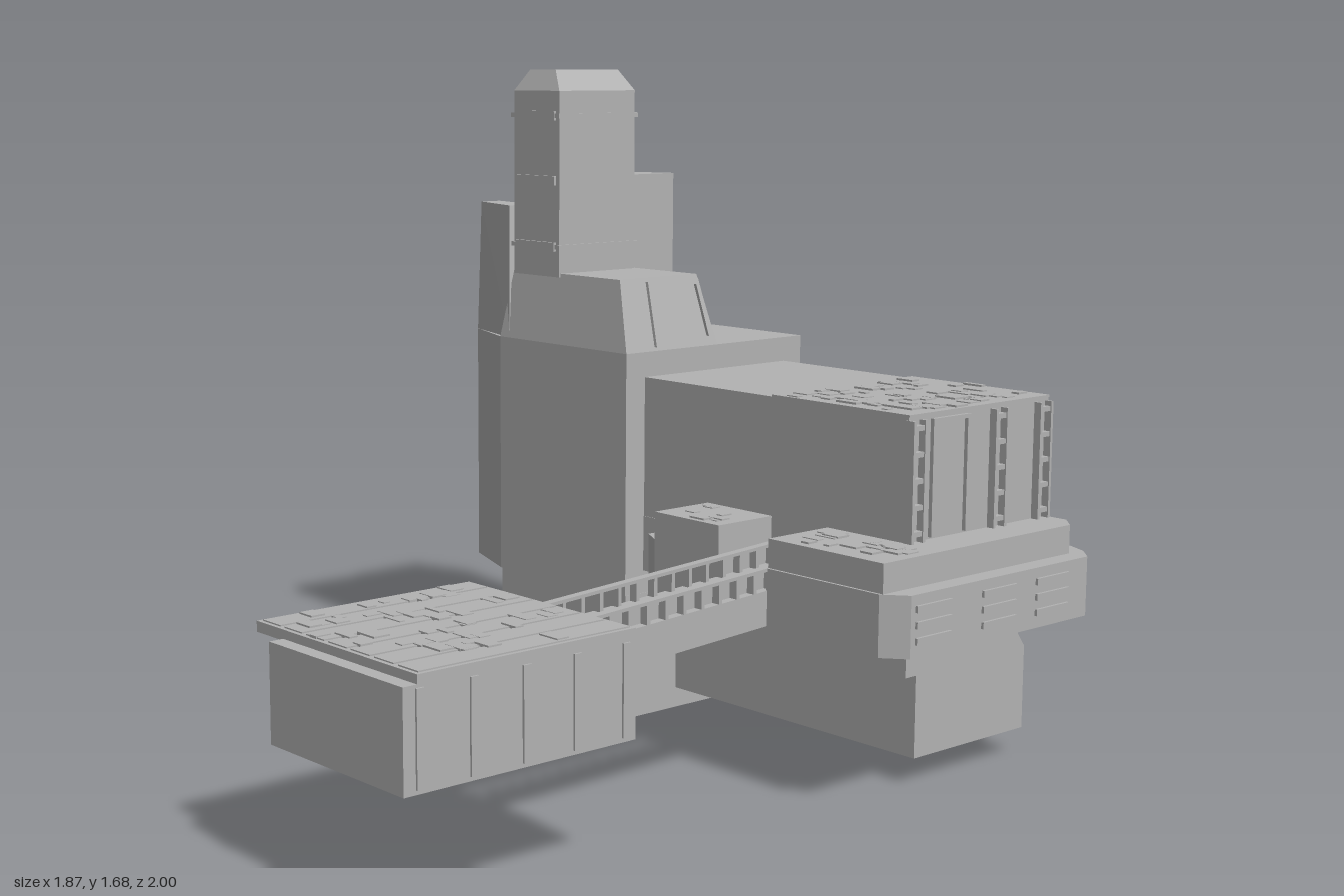
import * as THREE from 'three';
import { ConvexGeometry } from 'three/addons/geometries/ConvexGeometry.js';

export function createModel() {
  const model = new THREE.Group();
  const grey = new THREE.MeshStandardMaterial({ color: 0xb2b2b2 });
  grey.name = 'plainGrey';

  const add = (name, geometry) => {
    const mesh = new THREE.Mesh(geometry, grey);
    mesh.name = name;
    model.add(mesh);
    return mesh;
  };
  // box given by its limits
  const box = (name, x0, x1, y0, y1, z0, z1) =>
    add(name, new THREE.BoxGeometry(x1 - x0, y1 - y0, z1 - z0)
      .translate((x0 + x1) / 2, (y0 + y1) / 2, (z0 + z1) / 2));
  // upright prism over a plan of [x, z] points
  const prism = (name, plan, y0, y1) => {
    const shape = new THREE.Shape(plan.map(([x, z]) => new THREE.Vector2(x, -z)));
    return add(name, new THREE.ExtrudeGeometry(shape, { depth: y1 - y0, bevelEnabled: false })
      .rotateX(-Math.PI / 2).translate(0, y0, 0));
  };
  const hull = (name, points) =>
    add(name, new ConvexGeometry(points.map(p => new THREE.Vector3(...p))));
  const rect = (x0, x1, z0, z1, y) => [[x0, y, z0], [x1, y, z0], [x1, y, z1], [x0, y, z1]];

  // small seeded generator for the roof plating
  let seed = 7;
  const rnd = () => (seed = (seed * 16807) % 2147483647) / 2147483647;
  const plating = (name, x0, x1, z0, z1, y, count) => {
    for (let i = 0; i < count; i++) {
      const w = 0.015 + rnd() * 0.05, d = 0.012 + rnd() * 0.03;
      const x = x0 + rnd() * (x1 - x0 - w), z = z0 + rnd() * (z1 - z0 - d);
      box(name, x, x + w, y - 0.002, y + 0.002 + rnd() * 0.003, z, z + d);
    }
  };

  // tower
  box('towerFoot', -0.635, -0.125, 0, 0.33, -0.675, -0.357);
  prism('towerBody', [[-0.935, -0.83], [-0.83, -0.93], [-0.64, -1], [-0.127, -1], [-0.127, -0.357],
    [-0.64, -0.357], [-0.83, -0.43], [-0.935, -0.53]], 0.32, 0.965);
  prism('rearColumn', [[-0.83, -0.93], [-0.64, -1], [-0.64, -0.675], [-0.83, -0.675]], 0.96, 1.39);
  hull('towerShoulder', [...rect(-0.64, -0.127, -0.68, -0.357, 0.965), ...rect(-0.61, -0.182, -0.655, -0.383, 1.15)]);
  hull('frontFin', [[-0.83, 0.96, -0.43], [-0.6, 0.96, -0.357], [-0.6, 0.96, -0.475], [-0.83, 0.96, -0.51],
    [-0.83, 1.32, -0.445], [-0.64, 1.32, -0.39], [-0.64, 1.32, -0.475], [-0.83, 1.32, -0.51]]);

  // sloped window frame on the shoulder
  const slopeX = y => -0.127 - (y - 0.965) * 0.297;
  const slopeBar = (y0, y1, a0, a1, b0, b1) => hull('slopedWindowFrame', [[y0, a0], [y0, a1], [y1, b0], [y1, b1]]
    .flatMap(([y, z]) => [[slopeX(y) - 0.005, y, z], [slopeX(y) + 0.009, y, z]]));
  slopeBar(0.975, 1.14, -0.665, -0.65, -0.65, -0.638);
  slopeBar(0.975, 1.14, -0.475, -0.458, -0.485, -0.47);
  slopeBar(1.125, 1.14, -0.65, -0.475, -0.65, -0.475);
  slopeBar(0.975, 0.99, -0.66, -0.46, -0.66, -0.46);

  // chimney
  box('chimney', -0.603, -0.417, 1.14, 1.63, -0.645, -0.378);
  hull('chimneyCap', [...rect(-0.603, -0.417, -0.645, -0.378, 1.63), ...rect(-0.565, -0.46, -0.622, -0.402, 1.685)]);
  for (const y of [1.22, 1.565]) box('chimneyBand', -0.609, -0.411, y - 0.006, y + 0.006, -0.651, -0.372);
  for (const y of [1.22, 1.395, 1.565])
    for (const z of [-0.653, -0.378]) box('chimneyLug', -0.59, -0.43, y - 0.012, y + 0.012, z, z + 0.008);

  // main hall and its end facade
  box('mainHall', -0.127, 0.765, 0.4, 0.9, -0.935, -0.422);
  box('hallRoof', 0.33, 0.768, 0.9, 0.905, -0.935, -0.422);
  for (const z of [-0.905, -0.738, -0.443]) {
    for (const dz of [-0.024, 0.016]) box('facadePost', 0.76, 0.785, 0.6, 0.892, z + dz, z + dz + 0.008);
    for (let i = 0; i < 5; i++) box('facadeRung', 0.76, 0.782, 0.62 + i * 0.062, 0.632 + i * 0.062, z - 0.02, z + 0.02);
  }
  for (const [z0, z1] of [[-0.632, -0.622], [-0.51, -0.5]]) box('doorFrame', 0.76, 0.775, 0.61, 0.89, z0, z1);
  box('doorLintel', 0.76, 0.775, 0.88, 0.89, -0.632, -0.5);
  plating('hallRoofPlate', 0.34, 0.76, -0.93, -0.43, 0.905, 60);

  // lower gallery around the hall
  prism('gallery', [[-0.127, -0.935], [-0.05, -0.966], [0.82, -0.966], [0.88, -0.94], [0.925, -0.895],
    [0.925, -0.26], [0.87, -0.215], [0.52, -0.215], [0.52, -0.42], [-0.127, -0.42]], 0.39, 0.535);
  prism('galleryRoof', [[0.52, -0.935], [0.83, -0.935], [0.875, -0.89], [0.875, -0.222], [0.52, -0.222]], 0.53, 0.605);
  for (const y of [0.4, 0.515]) box('windowRail', -0.05, 0.82, y, y + 0.014, -0.975, -0.96);
  for (let i = 0; i < 6; i++) {
    const x = -0.04 + i * 0.168;
    box('windowPillar', x - 0.014, x + 0.014, 0.4, 0.529, -0.975, -0.96);
  }
  for (const z of [-0.335, -0.565, -0.76])
    for (const y of [0.428, 0.465, 0.502]) box('louvre', 0.92, 0.932, y - 0.008, y + 0.008, z - 0.06, z + 0.06);
  plating('galleryPlate', 0.53, 0.86, -0.41, -0.23, 0.605, 18);

  // small pod beside the bridge
  prism('sidePod', [[0.05, -0.42], [0.05, -0.275], [0.11, -0.24], [0.335, -0.24], [0.335, -0.43], [0.11, -0.43]], 0.39, 0.535);
  box('sidePodRoof', 0.11, 0.335, 0.53, 0.605, -0.43, -0.24);
  plating('sidePodPlate', 0.12, 0.33, -0.41, -0.25, 0.605, 8);

  // hull hung under the hall
  box('hangingNeck', -0.045, 0.735, 0.27, 0.395, -0.885, -0.468);
  hull('hangingLip', [...rect(-0.09, 0.735, -0.91, -0.505, 0.275), ...rect(-0.045, 0.735, -0.885, -0.49, 0.31)]);
  box('hangingHull', -0.09, 0.735, 0.067, 0.278, -0.91, -0.505);

  // bridge of two sloping girders
  const rise = z => (0.4 - z) * 0.057;
  const beam = (name, x, y0, y1, z0, z1) => hull(name, [[y0, z0], [y1, z0], [y0, z1], [y1, z1]]
    .flatMap(([y, z]) => [[x - 0.011, y + rise(z), z], [x + 0.011, y + rise(z), z]]));
  for (const x of [0.355, 0.513]) {
    beam('girderWeb', x, 0.362, 0.447, -0.43, 0.4);
    beam('girderRail', x, 0.492, 0.5, -0.43, 0.4);
    for (let i = 0; i < 15; i++) {
      const z = 0.385 - i * 0.056;
      beam('girderStrut', x, 0.445, 0.495, z - 0.005, z + 0.005);
    }
  }

  // outlying platform
  box('platformBox', 0.27, 0.735, 0.29, 0.512, 0.392, 1);
  box('platformRoof', 0.17, 0.735, 0.508, 0.532, 0.392, 0.965);
  for (let i = 0; i < 5; i++) {
    const z = 0.41 + i * 0.135;
    box('platformRib', 0.73, 0.74, 0.3, 0.505, z, z + 0.02);
  }
  for (let i = 0; i < 7; i++) box('platformStrip', 0.18 + i * 0.08, 0.245 + i * 0.08, 0.53, 0.535, 0.4, 0.955);
  plating('platformPlate', 0.18, 0.73, 0.4, 0.96, 0.534, 50);

  return model;
}
